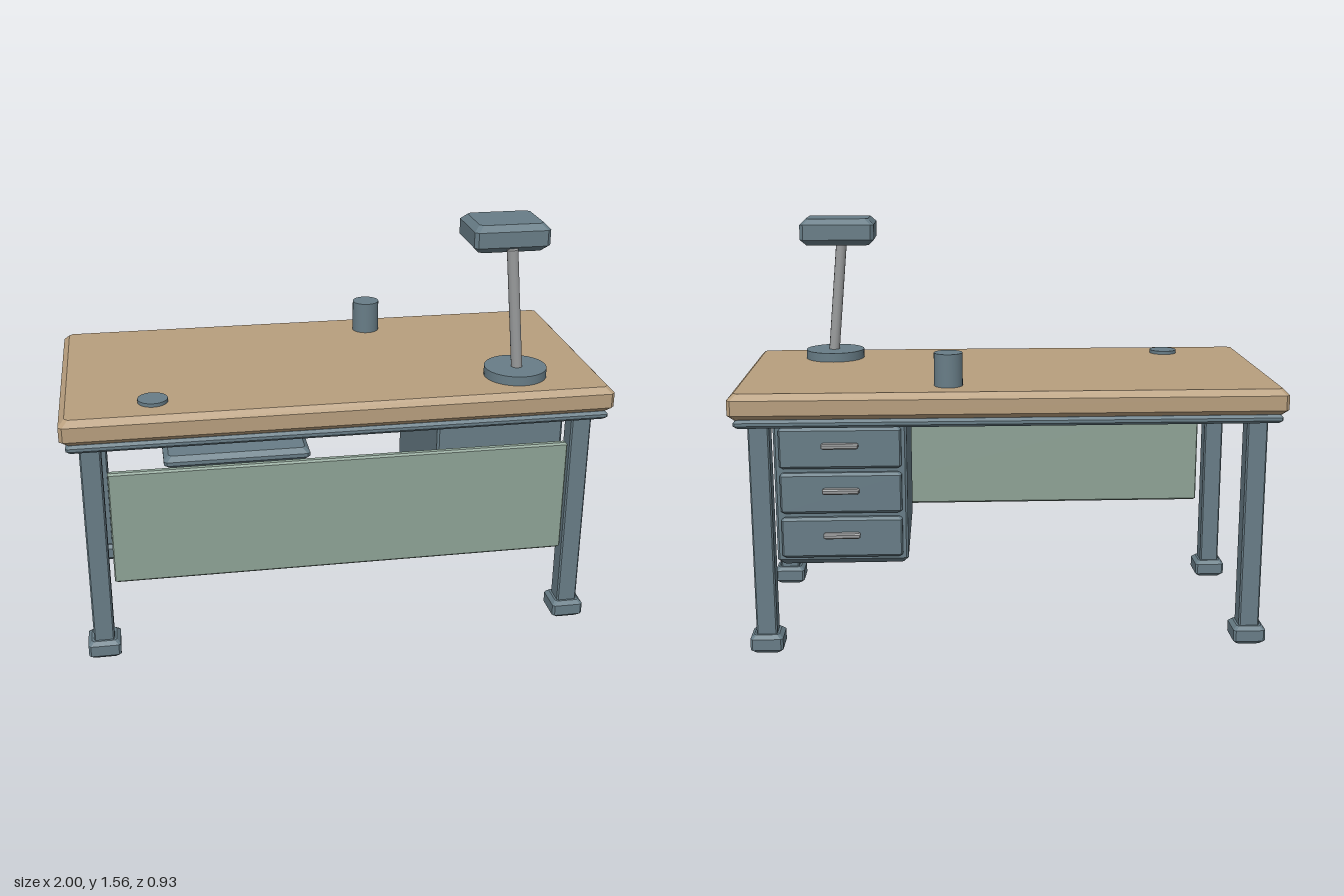
import * as THREE from 'three';

// Stacked chamfered-rectangle sections [y, halfWidth, halfDepth], capped at both ends
function loftBox(sections, c) {
  const pos = [];
  const rings = sections.map(([y, hx, hz]) => [
    [hx, hz - c], [hx, c - hz], [hx - c, -hz], [c - hx, -hz],
    [-hx, c - hz], [-hx, hz - c], [c - hx, hz], [hx - c, hz],
  ].map(([x, z]) => [x, y, z]));
  const tri = (a, b, d) => pos.push(...a, ...b, ...d);
  for (let i = 0; i < rings.length - 1; i++) {
    const lo = rings[i], hi = rings[i + 1];
    for (let k = 0; k < 8; k++) {
      const n = (k + 1) % 8;
      tri(lo[k], lo[n], hi[n]);
      tri(lo[k], hi[n], hi[k]);
    }
  }
  const bottom = rings[0], top = rings[rings.length - 1];
  for (let k = 1; k < 7; k++) {
    tri(top[0], top[k], top[k + 1]);
    tri(bottom[0], bottom[k + 1], bottom[k]);
  }
  const g = new THREE.BufferGeometry();
  g.setAttribute('position', new THREE.Float32BufferAttribute(pos, 3));
  g.computeVertexNormals();
  return g;
}

// Box given by its limits, with all edges chamfered by b
function bevelBox(x0, x1, y0, y1, z0, z1, b) {
  const hx = (x1 - x0) / 2, hz = (z1 - z0) / 2;
  return loftBox([
    [y0, hx - b, hz - b], [y0 + b, hx, hz], [y1 - b, hx, hz], [y1, hx - b, hz - b],
  ], b * 0.6).translate((x0 + x1) / 2, 0, (z0 + z1) / 2);
}

export function createModel() {
  const root = new THREE.Group();
  const mat = (name, color) => {
    const m = new THREE.MeshStandardMaterial({ color });
    m.name = name;
    return m;
  };
  const wood = mat('wood', 0xb89f7e);
  const slate = mat('slate', 0x687d87);
  const green = mat('sage green', 0x8ea396);
  const metal = mat('brushed metal', 0x9a9c9d);

  const add = (name, geometry, material) => {
    const m = new THREE.Mesh(geometry, material);
    m.name = name;
    root.add(m);
    return m;
  };
  const disc = (r, y0, y1, x, z) =>
    new THREE.CylinderGeometry(r, r, y1 - y0, 28).translate(x, (y0 + y1) / 2, z);

  // Worktop and the frame beneath it
  add('worktop', bevelBox(-1, 1, 0.887, 0.985, -0.465, 0.465, 0.022), wood);
  add('underFrame', bevelBox(-0.98, 0.98, 0.861, 0.892, -0.46, 0.46, 0.01), slate);

  // Legs and feet
  for (const sx of [-1, 1]) for (const sz of [-1, 1]) {
    const x = sx * 0.9, z = sz * 0.37;
    add('leg', bevelBox(x - 0.038, x + 0.038, 0.04, 0.87, z - 0.038, z + 0.038, 0.009), slate);
    add('foot', bevelBox(x - 0.06, x + 0.06, 0, 0.07, z - 0.06, z + 0.06, 0.014), slate);
  }

  // Front privacy panel
  add('privacyPanel', bevelBox(-0.845, 0.845, 0.322, 0.762, 0.4, 0.43, 0.007), green);

  // Drawer cabinet with a tapered bottom
  add('cabinet', loftBox([
    [0.302, 0.225, 0.288], [0.328, 0.243, 0.32], [0.852, 0.243, 0.32], [0.862, 0.235, 0.31],
  ], 0.008).translate(0.618, 0, 0), slate);

  // Drawers and handles open towards the back
  for (let i = 0; i < 3; i++) {
    const y = 0.757 - i * 0.17;
    add('drawerFront', bevelBox(0.395, 0.84, y - 0.077, y + 0.077, -0.343, -0.31, 0.01), slate);
    add('drawerHandle', bevelBox(0.55, 0.685, y + 0.002, y + 0.022, -0.368, -0.338, 0.005), metal);
  }

  // Shallow tray below the worktop
  add('tray', bevelBox(-0.643, -0.107, 0.718, 0.768, 0.175, 0.342, 0.018), slate);

  // Desk lamp
  add('lampBase', disc(0.116, 0.98, 1.02, 0.675, 0.272), slate);
  const from = new THREE.Vector3(0.68, 1.01, 0.275);
  const to = new THREE.Vector3(0.637, 1.47, 0.275);
  const dir = to.clone().sub(from);
  const stem = add('lampStem', new THREE.CylinderGeometry(0.021, 0.021, dir.length(), 12), metal);
  stem.position.copy(from).add(to).multiplyScalar(0.5);
  stem.quaternion.setFromUnitVectors(new THREE.Vector3(0, 1, 0), dir.normalize());
  add('lampHead', bevelBox(0.498, 0.78, 1.455, 1.556, 0.045, 0.278, 0.022), slate);

  // Pencil cup and coaster
  add('pencilCup', disc(0.052, 0.98, 1.106, 0.22, -0.322), slate);
  add('coaster', disc(0.054, 0.98, 0.998, -0.67, 0.32), slate);

  return root;
}
